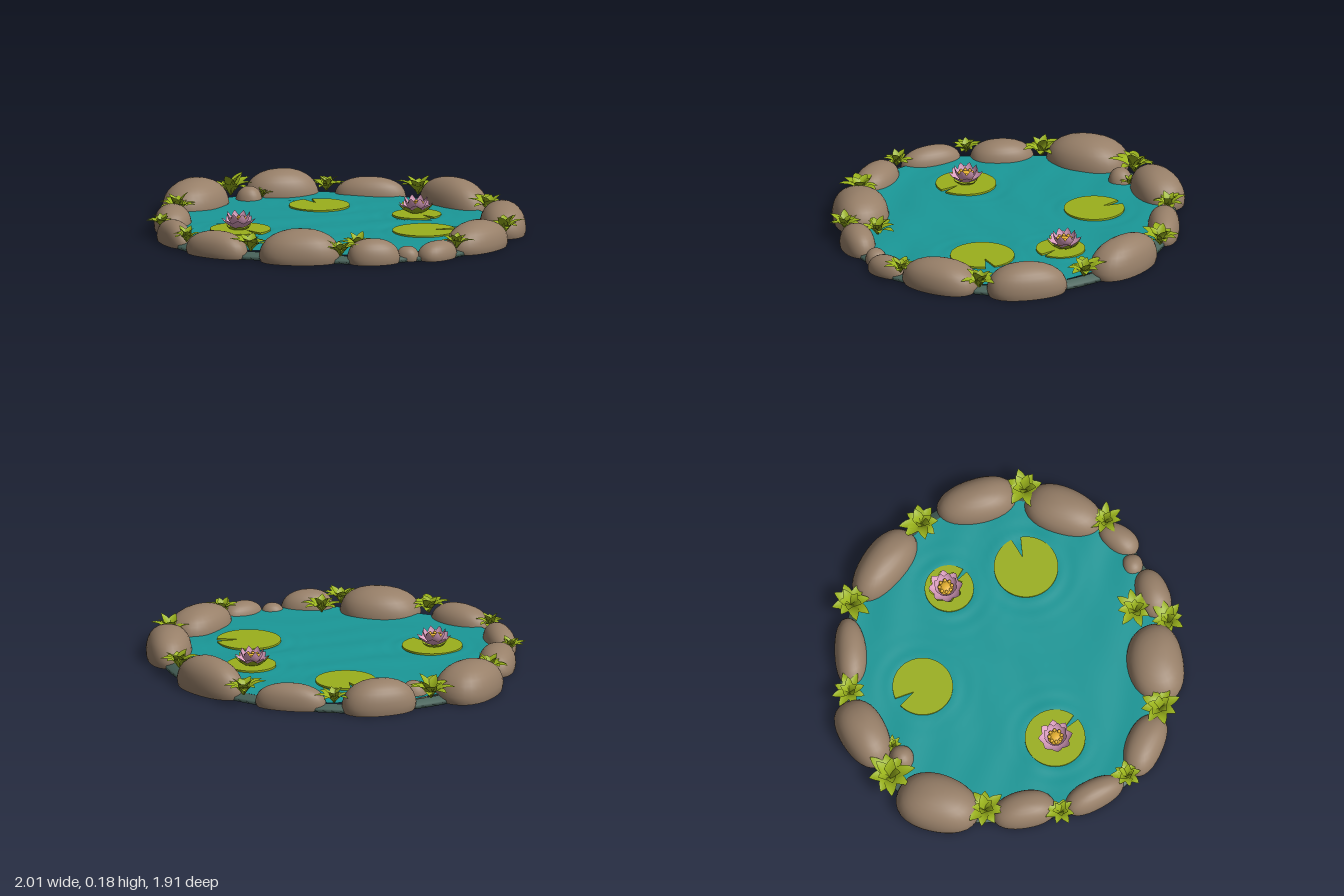
import * as THREE from 'three';
import { mergeVertices } from 'three/addons/utils/BufferGeometryUtils.js';

const mat = (name, color, side = THREE.FrontSide) => {
  const m = new THREE.MeshStandardMaterial({ color, side });
  m.name = name;
  return m;
};
const stone = mat('stone', 0x988069);
const water = mat('water', 0x1a9898);
const ground = mat('pond floor green', 0x48635a);
const pad = mat('lily pad green', 0x9bb01c);
const leafGreen = mat('leaf green', 0x9bb41c, THREE.DoubleSide);
const pink = mat('petal pink', 0xdc9fc0, THREE.DoubleSide);
const yellow = mat('pollen yellow', 0xf0b832);

const rad = THREE.MathUtils.degToRad;
const WATER_Y = 0.04, PAD_DEPTH = 0.01;

// x, z, half length, half width, height, plan angle; ordered around the rim from the front
const ROCKS = [
  [-0.17, 0.77, 0.215, 0.15, 0.17, 0],
  [0.22, 0.81, 0.14, 0.09, 0.13, -10],
  [0.4, 0.73, 0.062, 0.055, 0.075, 0],
  [0.555, 0.68, 0.12, 0.075, 0.095, -45],
  [0.75, 0.41, 0.215, 0.13, 0.15, -60],
  [0.87, -0.03, 0.215, 0.122, 0.165, 83],
  [0.59, -0.57, 0.23, 0.12, 0.18, 45],
  [0.13, -0.82, 0.19, 0.085, 0.13, 5],
  [-0.33, -0.82, 0.2, 0.125, 0.17, -20],
  [-0.78, -0.49, 0.225, 0.155, 0.18, -65],
  [-0.88, -0.04, 0.17, 0.1, 0.13, 87],
  [-0.85, 0.335, 0.17, 0.08, 0.12, 70],
  [-0.61, 0.645, 0.18, 0.1, 0.13, 30],
];
const SMALL_ROCK = [-0.5, -0.64, 0.072, 0.065, 0.11, 0];

// x, z, spread
const PLANTS = [
  [-0.1, -0.86, 0.09], [-0.6, -0.72, 0.125], [-0.43, -0.68, 0.05], [0.39, -0.78, 0.11],
  [0.78, -0.345, 0.11], [0.89, 0.22, 0.11], [0.655, 0.62, 0.085], [0.135, 0.7, 0.095],
  [0.05, 0.865, 0.095], [-0.43, 0.75, 0.11], [-0.78, 0.525, 0.085], [-0.93, 0.145, 0.08],
  [-0.86, -0.25, 0.11],
];

// x, z, radius, notch angle, notch half width in radians
const PADS = [
  [-0.12, -0.47, 0.16, -115, 0.15],
  [0.405, -0.25, 0.13, 48, 0.1],
  [0.465, 0.17, 0.17, -10, 0.15],
  [-0.51, 0.18, 0.16, 52, 0.1],
];

// Seeded numbers between 0 and 1
let seed = 7;
const rnd = () => (seed = (seed * 16807) % 2147483647) / 2147483647;

function mesh(name, geometry, material, parent) {
  const m = new THREE.Mesh(geometry, material);
  m.name = name;
  parent.add(m);
  return m;
}

const lathe = (pts, n) => new THREE.LatheGeometry(pts.map(p => new THREE.Vector2(...p)), n);

// Moves every vertex by a rule, then welds the seam and smooths the normals
function reshape(geo, rule) {
  const p = geo.attributes.position, uv = geo.attributes.uv, v = new THREE.Vector3();
  for (let i = 0; i < p.count; i++) {
    v.fromBufferAttribute(p, i);
    rule(v, uv.getX(i), uv.getY(i));
    p.setXYZ(i, v.x, v.y, v.z);
  }
  geo.deleteAttribute('normal');
  geo.deleteAttribute('uv');
  const out = mergeVertices(geo, 1e-5);
  out.computeVertexNormals();
  return out;
}

// Rounded boulder with a flat dark underside
function addRock(parent, [x, z, a, b, h, angle]) {
  const g = new THREE.Group();
  g.name = 'rock';
  const k = rnd() * 6.28, lean = (rnd() - 0.5) * 0.2;
  const rule = v => {
    const t = Math.atan2(v.z, v.x);
    const square = 1 + 0.035 * (1 - Math.cos(4 * t)) / 2;
    const wobble = 1 + 0.025 * Math.sin(3 * t + k);
    const y = v.y;
    v.x = a * (v.x * square * wobble + lean * y * y * 0.6);
    v.z = b * v.z * square * wobble;
    v.y = y * h * (1 + 0.04 * Math.sin(2 * t + k) * (1 - y));
  };
  const profile = [[0.96, 0], [0.99, 0.1], [1, 0.24], [0.97, 0.4], [0.915, 0.55],
    [0.83, 0.68], [0.71, 0.795], [0.56, 0.888], [0.38, 0.956], [0.19, 0.99], [0, 1]];
  mesh('boulder', reshape(lathe(profile, 32), rule), stone, g);
  mesh('boulderBase', reshape(lathe([[0, 0], [0.96, 0]], 32), rule), ground, g);
  g.position.set(x, 0, z);
  g.rotation.y = -rad(angle);
  parent.add(g);
}

// Broad, arched leaf lying along +x from the origin
function leafGeometry(length, width, arch, cup) {
  const geo = new THREE.PlaneGeometry(1, 1, 10, 4);
  return reshape(geo, (v, t, w) => {
    const s = w * 2 - 1;
    const bulge = Math.max(0, Math.sin(Math.PI * Math.pow(t, 1.2)));
    const half = width * (0.2 * (1 - t) + Math.pow(bulge, 0.85));
    v.set(length * t, arch * 4 * t * (1 - t) + cup * s * s * bulge, -s * half);
  });
}

// Ring of leaves or petals raised by an elevation angle
function addWhorl(parent, name, material, count, len, width, elev, turn, arch, cup, jitter = 0) {
  for (let i = 0; i < count; i++) {
    const l = len * (1 + (rnd() - 0.5) * jitter);
    const m = mesh(name, leafGeometry(l, width, arch, cup), material, parent);
    const yaw = turn + (i + (rnd() - 0.5) * jitter) / count * Math.PI * 2;
    m.rotation.set(0, yaw, rad(elev + (rnd() - 0.5) * jitter * 40), 'YXZ');
  }
}

function addPlant(parent, [x, z, r]) {
  const g = new THREE.Group();
  g.name = 'plant';
  const turn = rnd() * 6.28;
  addWhorl(g, 'outerLeaf', leafGreen, 8, r * 1.12, r * 0.23, 27, turn, r * 0.2, r * 0.05, 0.35);
  addWhorl(g, 'innerLeaf', leafGreen, 5, r * 1.0, r * 0.22, 56, turn + 0.5, r * 0.12, r * 0.05, 0.35);
  g.position.set(x, 0.045, z);
  parent.add(g);
}

// Flat round pad with a wedge cut out
function addPad(parent, [x, z, r, angle, half]) {
  const a = -rad(angle);
  const s = new THREE.Shape();
  s.absarc(0, 0, r, a + half, a - half + Math.PI * 2, false);
  s.lineTo(Math.cos(a) * r * 0.35, Math.sin(a) * r * 0.35);
  s.closePath();
  const geo = new THREE.ExtrudeGeometry(s, { depth: PAD_DEPTH, bevelEnabled: false, curveSegments: 40 });
  geo.rotateX(-Math.PI / 2);
  mesh('lilyPad', geo, pad, parent).position.set(x, WATER_Y, z);
}

function addFlower(parent, x, z, sepal, sepalElev) {
  const g = new THREE.Group();
  g.name = 'waterLily';
  addWhorl(g, 'sepal', leafGreen, 8, sepal, 0.026, sepalElev, 0.15, -0.016, 0.008);
  addWhorl(g, 'outerPetal', pink, 8, 0.108, 0.029, 32, 0, -0.012, 0.007);
  addWhorl(g, 'innerPetal', pink, 8, 0.108, 0.023, 54, 0.39, -0.016, 0.006);
  const core = mesh('flowerCentre', new THREE.SphereGeometry(0.04, 20, 12), yellow, g);
  core.scale.y = 0.7;
  core.position.y = 0.032;
  // Small stamens
  for (let i = 0; i < 8; i++) {
    const t = i / 8 * Math.PI * 2;
    const st = mesh('stamen', new THREE.SphereGeometry(0.01, 8, 6), yellow, g);
    st.position.set(Math.cos(t) * 0.033, 0.054, Math.sin(t) * 0.033);
  }
  g.position.set(x, WATER_Y + PAD_DEPTH, z);
  parent.add(g);
}

// Rippled water on a shallow floor, both following the rim of rocks
function addPond(parent) {
  const rim = new THREE.CatmullRomCurve3(
    ROCKS.map(r => new THREE.Vector3(r[0], 0, r[1])), true, 'centripetal');
  const follow = (v, u) => {
    const r = Math.hypot(v.x, v.z), y = v.y;
    rim.getPoint(u % 1, v).multiplyScalar(r);
    v.y = y;
  };
  const profile = [];
  for (let i = 0; i <= 54; i++) profile.push([1 - i / 54, WATER_Y]);
  mesh('water', reshape(lathe(profile, 140), (v, u) => {
    follow(v, u);
    const fade = Math.min(1, Math.hypot(v.x, v.z) * 5);
    let y = 0.0024 * Math.sin(9 * v.x + 4 * Math.sin(5 * v.z))
      + 0.0018 * Math.sin(24 * v.z + 3 * Math.sin(5 * v.x));
    for (const [px, pz, pr] of PADS) {
      const d = Math.hypot(v.x - px, v.z - pz) - pr;
      y += 0.0022 * Math.sin(70 * d) * Math.exp(-Math.abs(d) * 14);
    }
    v.y += y * fade;
  }), water, parent);
  const floor = [[0, 0], [1.06, 0], [1.06, 0.02], [1, 0.036]];
  mesh('pondFloor', reshape(lathe(floor, 140), follow), ground, parent);
}

export function createModel() {
  const model = new THREE.Group();
  model.name = 'pond';
  addPond(model);
  [...ROCKS, SMALL_ROCK].forEach(r => addRock(model, r));
  PLANTS.forEach(p => addPlant(model, p));
  PADS.forEach(p => addPad(model, p));
  addFlower(model, -0.52, 0.18, 0.07, 18);
  addFlower(model, 0.4, -0.27, 0.105, 28);
  return model;
}
